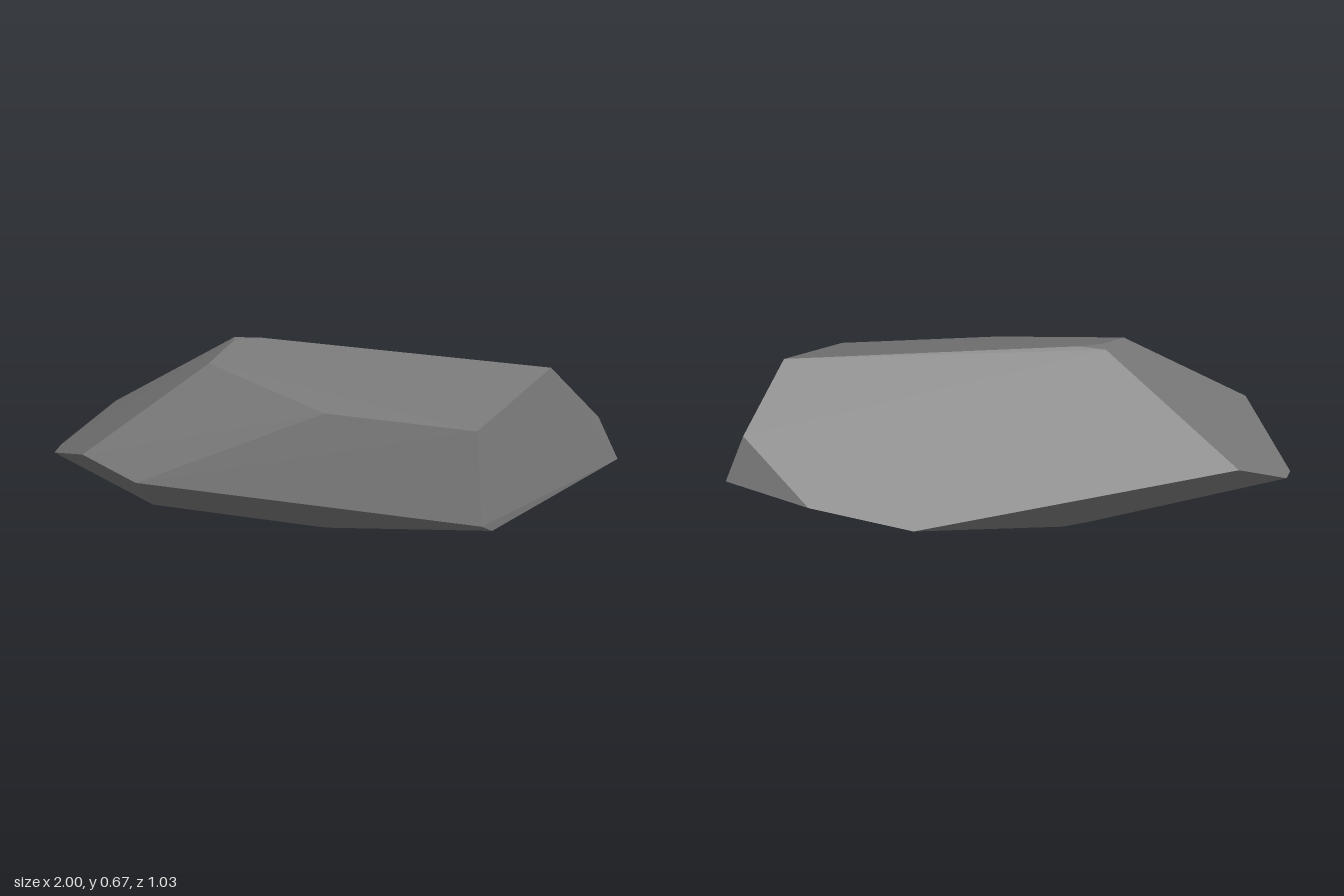
import * as THREE from 'three';
import { ConvexGeometry } from 'three/addons/geometries/ConvexGeometry.js';

export function createModel() {
  const group = new THREE.Group();
  group.name = 'rock';

  const stone = new THREE.MeshStandardMaterial({ color: 0x787878 });
  stone.name = 'grey stone';

  // Corners of the chiselled boulder, from the ridge down to the base
  const corners = [
    // top ridge
    [-0.33, 0.66, 0], [-0.23, 0.665, 0], [-0.315, 0.66, 0.045], [-0.36, 0.605, 0.207], [0.83, 0.595, -0.147],
    // front shoulder
    [0.13, 0.485, 0.361], [0.692, 0.443, 0.295],
    // pointed end at -x
    [-0.86, 0.335, -0.235], [-0.77, 0.285, 0.432], [-1, 0.208, -0.03], [-1, 0.195, 0.05],
    // slanted end at +x
    [0.945, 0.375, -0.353], [1, 0.212, -0.406], [0.73, 0.105, 0.36], [0.75, 0.078, 0.3],
    // widest points, front and back
    [-0.54, 0.213, 0.514], [0.68, 0.18, -0.5], [0.29, 0.126, -0.514],
    // underside
    [-0.59, 0.052, 0.155], [-0.285, 0.016, -0.13], [-0.2, 0.008, -0.165], [0.05, 0, 0.105],
  ].map((p) => new THREE.Vector3(...p));

  const body = new THREE.Mesh(new ConvexGeometry(corners), stone);
  body.name = 'rockBody';
  group.add(body);
  return group;
}
